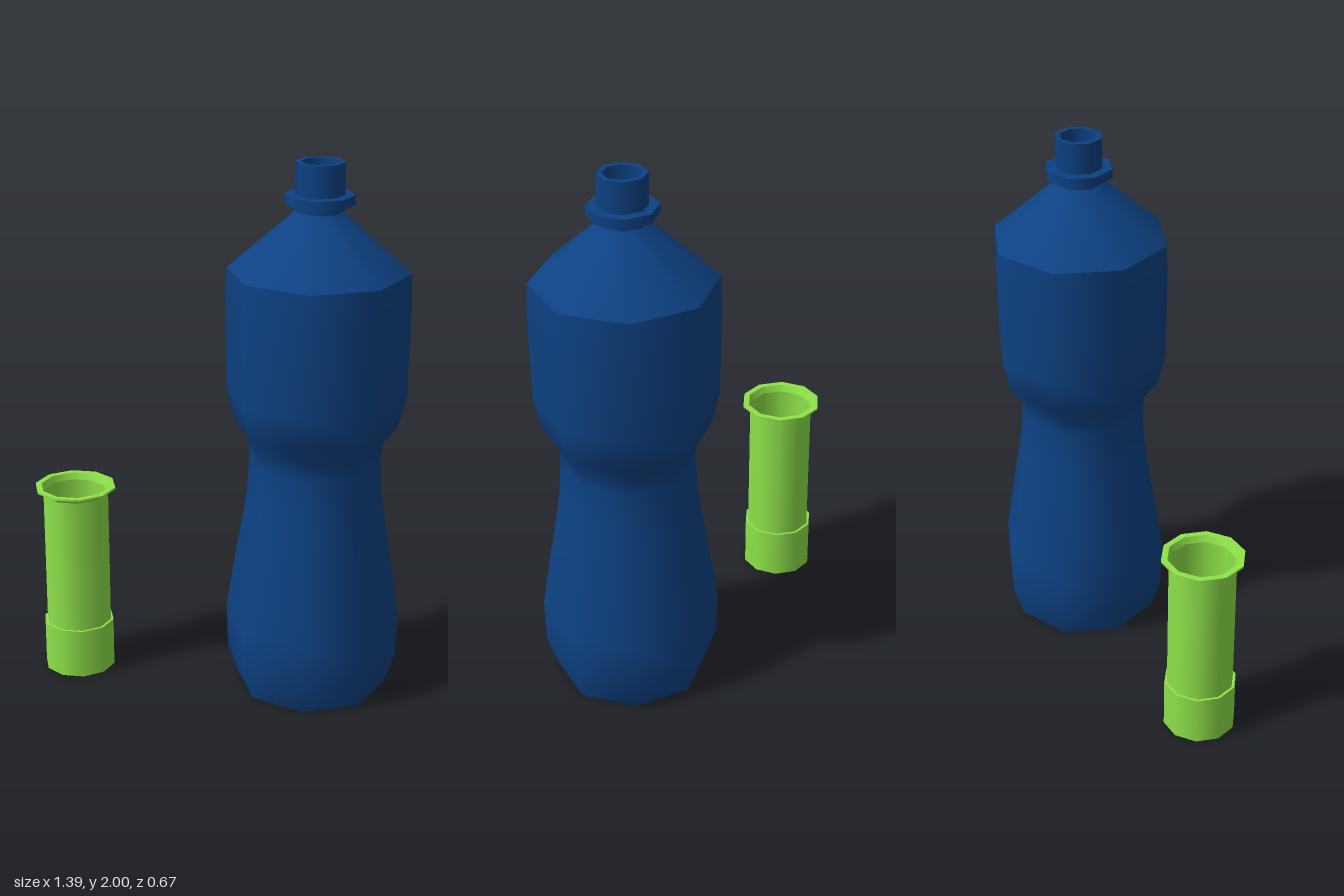
import * as THREE from 'three';

// Turned part made of several smooth profile sections, with sharp edges between sections.
// Profiles run from the bottom centre outwards, up, and then down the inside.
function turned(name, color, sides, sections) {
  const group = new THREE.Group();
  group.name = name;
  const material = new THREE.MeshStandardMaterial({ color, side: THREE.DoubleSide });
  for (const [part, points] of Object.entries(sections)) {
    const profile = points.map(([r, y]) => new THREE.Vector2(r, y));
    const mesh = new THREE.Mesh(new THREE.LatheGeometry(profile, sides, Math.PI / 2), material);
    mesh.name = part;
    group.add(mesh);
  }
  return group;
}

export function createModel() {
  const model = new THREE.Group();
  model.name = 'bottleAndCup';

  // Eight-sided bottle with a narrow waist and an open neck
  const bottle = turned('bottle', 0x0d4284, 8, {
    baseHollow: [[0, 0.07], [0.08, 0.06], [0.2, 0.01], [0.28, 0]],
    body: [[0.28, 0], [0.32, 0.12], [0.325, 0.29], [0.25, 0.76], [0.241, 0.9], [0.247, 0.97],
      [0.3, 1.04], [0.328, 1.16], [0.333, 1.5], [0.329, 1.61]],
    shoulder: [[0.329, 1.61], [0.085, 1.825]],
    lowerNeck: [[0.085, 1.825], [0.085, 1.85]],
    collarUnderside: [[0.085, 1.85], [0.125, 1.85]],
    collarEdge: [[0.125, 1.85], [0.125, 1.885]],
    collarTop: [[0.125, 1.885], [0.088, 1.885]],
    neck: [[0.088, 1.885], [0.088, 2]],
    lip: [[0.088, 2], [0.068, 2]],
    mouth: [[0.068, 2], [0.068, 1.84]],
    mouthFloor: [[0.068, 1.84], [0, 1.84]],
  });
  bottle.position.x = 0.36;
  model.add(bottle);

  // Ten-sided open cup with a thicker foot and a flared rim
  const cup = turned('cup', 0x8fe34a, 10, {
    bottom: [[0, 0], [0.135, 0]],
    foot: [[0.135, 0], [0.135, 0.19]],
    step: [[0.135, 0.19], [0.125, 0.19]],
    wall: [[0.125, 0.19], [0.125, 0.715]],
    rimFlare: [[0.125, 0.715], [0.153, 0.732]],
    rimEdge: [[0.153, 0.732], [0.153, 0.74]],
    rimTop: [[0.153, 0.74], [0.13, 0.74]],
    rimInside: [[0.13, 0.74], [0.12, 0.715]],
    inside: [[0.12, 0.715], [0.12, 0.02]],
    floor: [[0.12, 0.02], [0, 0.02]],
  });
  cup.position.x = -0.542;
  model.add(cup);

  return model;
}
